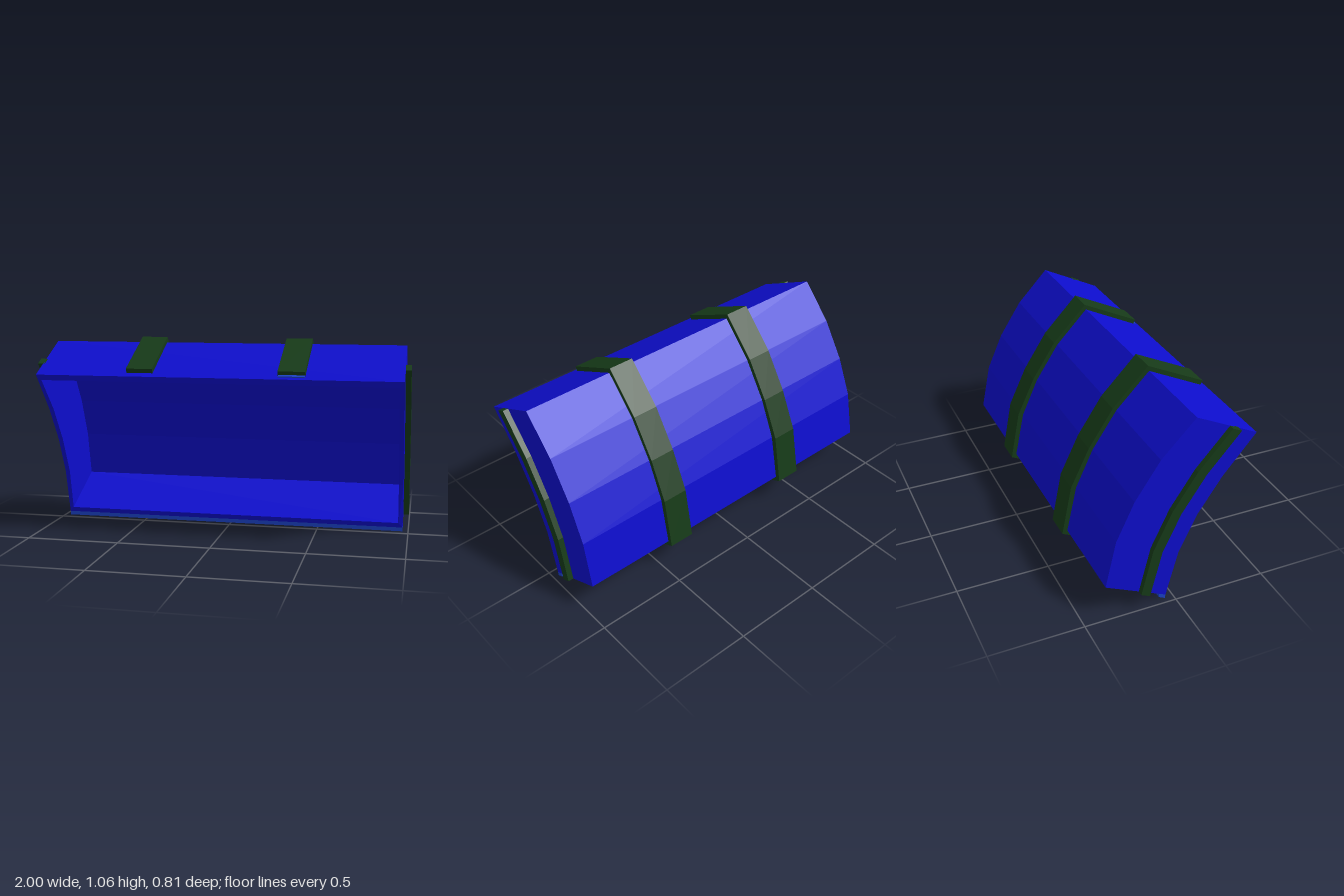
import * as THREE from 'three';

// Profile points as [z, y], from the bottom end to the top end
const FRONT = [[-0.045, 0.022], [0.017, 0.275], [0.112, 0.48], [0.237, 0.669], [0.408, 0.875]];
const BACK = [[-0.377, 0.182], [-0.324, 0.441], [-0.231, 0.649], [-0.101, 0.849], [0.076, 1.035]];
const INNER_FRONT = [[-0.03, 0.05], ...FRONT.slice(1, 4), [0.395, 0.845]];
const INNER_BACK = [[-0.35, 0.2], [-0.299, 0.447], [-0.208, 0.66], [-0.081, 0.862], [0.078, 1.003]];
const STRAP_OUTER = [[-0.085, 0.013], [-0.405, 0.167], [-0.352, 0.447], [-0.252, 0.66],
  [-0.121, 0.863], [0.07, 1.064], [0.386, 0.914]];

const blue = new THREE.MeshStandardMaterial({ color: 0x0d0dcc, flatShading: true });
const green = new THREE.MeshStandardMaterial({ color: 0x163a18, flatShading: true });
const lightBlue = new THREE.MeshStandardMaterial({ color: 0x1a40c4, flatShading: true });

const mix = (a, b, t) => [a[0] + (b[0] - a[0]) * t, a[1] + (b[1] - a[1]) * t];
const at = (x, [z, y]) => [x, y, z];

// Joins rings of corners into a closed solid; caps lists the quads of each end
function loft(name, rings, material, caps = [[0, 1, 2, 3]]) {
  const pos = [];
  const quad = (a, b, c, d) => pos.push(...a, ...b, ...c, ...a, ...c, ...d);
  const n = rings[0].length;
  for (let s = 0; s < rings.length - 1; s++) {
    for (let i = 0; i < n; i++) {
      const j = (i + 1) % n;
      quad(rings[s][i], rings[s][j], rings[s + 1][j], rings[s + 1][i]);
    }
  }
  for (const cap of caps) {
    quad(...[...cap].reverse().map((i) => rings[0][i]));
    quad(...cap.map((i) => rings[rings.length - 1][i]));
  }
  const geometry = new THREE.BufferGeometry();
  geometry.setAttribute('position', new THREE.Float32BufferAttribute(pos, 3));
  geometry.computeVertexNormals();
  const mesh = new THREE.Mesh(geometry, material);
  mesh.name = name;
  return mesh;
}

// Solid of rectangular section between two profiles, from x0 to x1
function band(name, inner, outer, x0, x1, material) {
  const rings = inner.map((p, i) => [at(x1, p), at(x1, outer[i]), at(x0, outer[i]), at(x0, p)]);
  return loft(name, rings, material);
}

export function createModel() {
  const group = new THREE.Group();
  group.name = 'curvedLid';

  // Hollow curved shell, open on its concave front
  const w = 0.97, iw = 0.945;
  const shellRings = FRONT.map((f, i) => [
    at(w, f), at(w, BACK[i]), at(-w, BACK[i]), at(-w, f),
    at(-iw, INNER_FRONT[i]), at(-iw, INNER_BACK[i]), at(iw, INNER_BACK[i]), at(iw, INNER_FRONT[i]),
  ]);
  group.add(loft('shell', shellRings, blue, [[0, 1, 2, 3], [4, 5, 6, 7], [0, 3, 4, 7]]));

  // Straps wrapping the bottom, back and top
  const strapInner = [mix(FRONT[0], BACK[0], 0.1), ...BACK, mix(FRONT[4], BACK[4], 0.1)];
  group.add(band('rightStrap', strapInner, STRAP_OUTER, -0.475, -0.333, green));
  group.add(band('leftStrap', strapInner, STRAP_OUTER, 0.33, 0.472, green));

  // Curved bands on the two end walls
  const bandFront = FRONT.map((f, i) => mix(f, BACK[i], 0.31));
  const bandBack = FRONT.map((f, i) => mix(f, BACK[i], 0.455));
  group.add(band('leftEndBand', bandFront, bandBack, 0.96, 1, green));
  group.add(band('rightEndBand', bandFront, bandBack, -1, -0.96, green));

  // Lip under the lower front edge
  group.add(band('bottomLip', [[-0.047, 0], [-0.045, 0.022]], [[-0.082, 0.018], [-0.08, 0.04]],
    -w, w, lightBlue));

  // Small plate under the front end of the left strap
  group.add(band('strapPlate', [[0.388, 0.876], [0.391, 0.889]], [[0.33, 0.904], [0.333, 0.917]],
    0.332, 0.47, lightBlue));

  return group;
}
